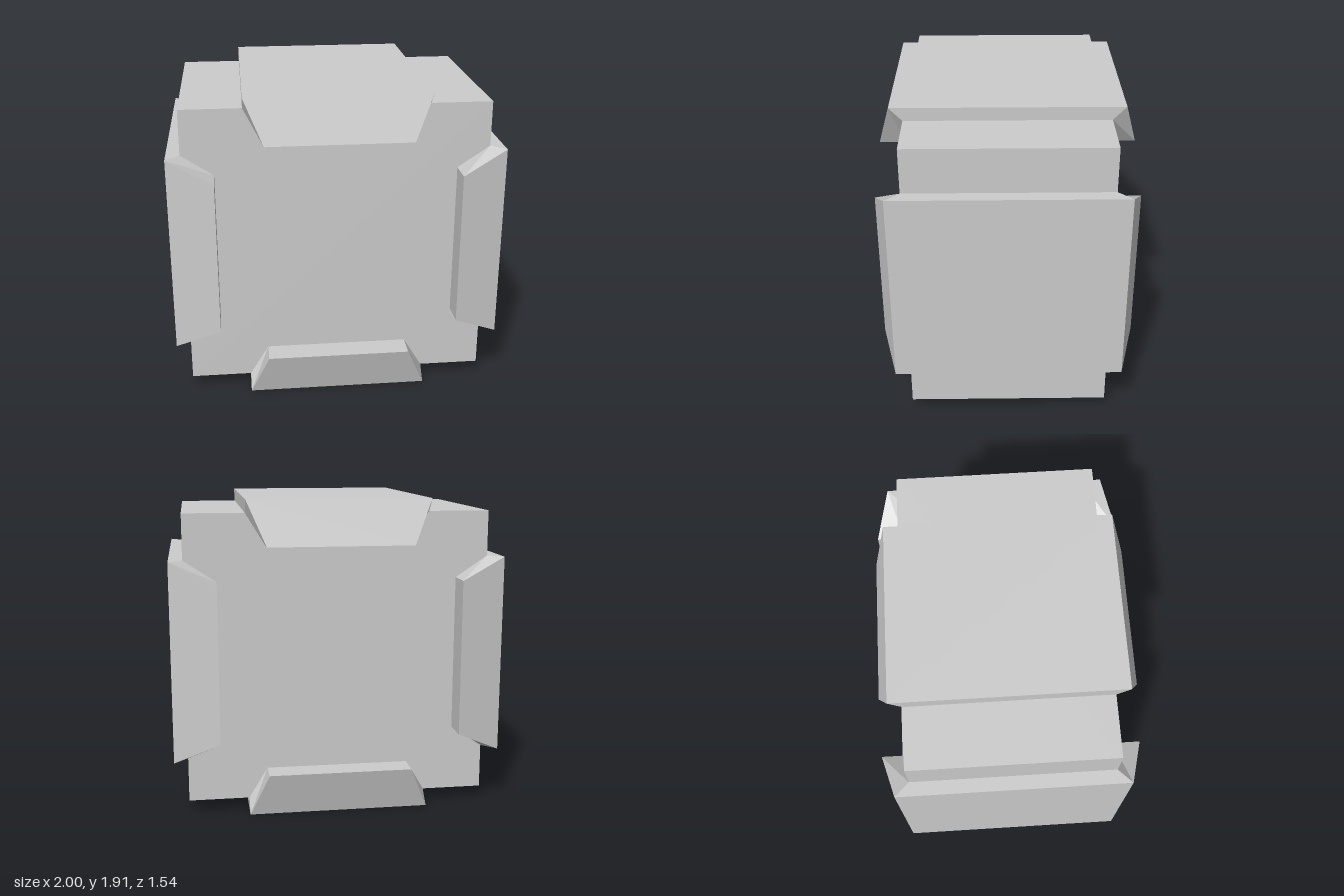
import * as THREE from 'three';

const material = new THREE.MeshStandardMaterial({ color: 0xcccccc, flatShading: true });
const CORE = { x: 0.917, y: 0.875, z: 0.603 };
const CENTRE_Y = 0.955;

// Slab over one face of the core (local +y) with a tapered flap folded over front and back.
function clampGeometry({ outer, inner, tip, width, tipWidth, edgeZ, tipZ }) {
  const section = (w, outY, outZ, inY, inZ) => [
    [-w, outY, outZ], [w, outY, outZ], [w, inY, inZ], [-w, inY, inZ],
  ];
  const sections = [
    section(tipWidth, tip, tipZ, tip, CORE.z),
    section(width, outer, edgeZ, inner, CORE.z),
    section(width, outer, -edgeZ, inner, -CORE.z),
    section(tipWidth, tip, -tipZ, tip, -CORE.z),
  ];
  const positions = [];
  const quad = (a, b, c, d) => positions.push(...a, ...b, ...d, ...b, ...c, ...d);

  // skin between neighbouring sections
  for (let i = 0; i < 3; i++) {
    for (let k = 0; k < 4; k++) {
      const n = (k + 1) % 4;
      quad(sections[i][k], sections[i][n], sections[i + 1][n], sections[i + 1][k]);
    }
  }
  // flap tips
  quad(...[...sections[0]].reverse());
  quad(...sections[3]);

  const geometry = new THREE.BufferGeometry();
  geometry.setAttribute('position', new THREE.Float32BufferAttribute(positions, 3));
  geometry.computeVertexNormals();
  return geometry;
}

export function createModel() {
  const model = new THREE.Group();
  model.name = 'clampedCrate';

  const add = (name, geometry, angle = 0) => {
    const mesh = new THREE.Mesh(geometry, material);
    mesh.name = name;
    mesh.position.y = CENTRE_Y;
    mesh.rotation.z = angle;
    model.add(mesh);
  };

  // main block
  add('core', new THREE.BoxGeometry(CORE.x * 2, CORE.y * 2, CORE.z * 2));

  // top and bottom clamps
  const capClamp = clampGeometry({
    outer: 0.955, inner: CORE.y, tip: 0.687,
    width: 0.549, tipWidth: 0.435, edgeZ: 0.682, tipZ: 0.757,
  });
  add('topClamp', capClamp);
  add('bottomClamp', capClamp, Math.PI);

  // left and right clamps
  const sideClamp = clampGeometry({
    outer: 1, inner: CORE.x, tip: 0.724,
    width: 0.603, tipWidth: 0.473, edgeZ: 0.687, tipZ: 0.77,
  });
  add('leftClamp', sideClamp, -Math.PI / 2);
  add('rightClamp', sideClamp, Math.PI / 2);

  return model;
}
